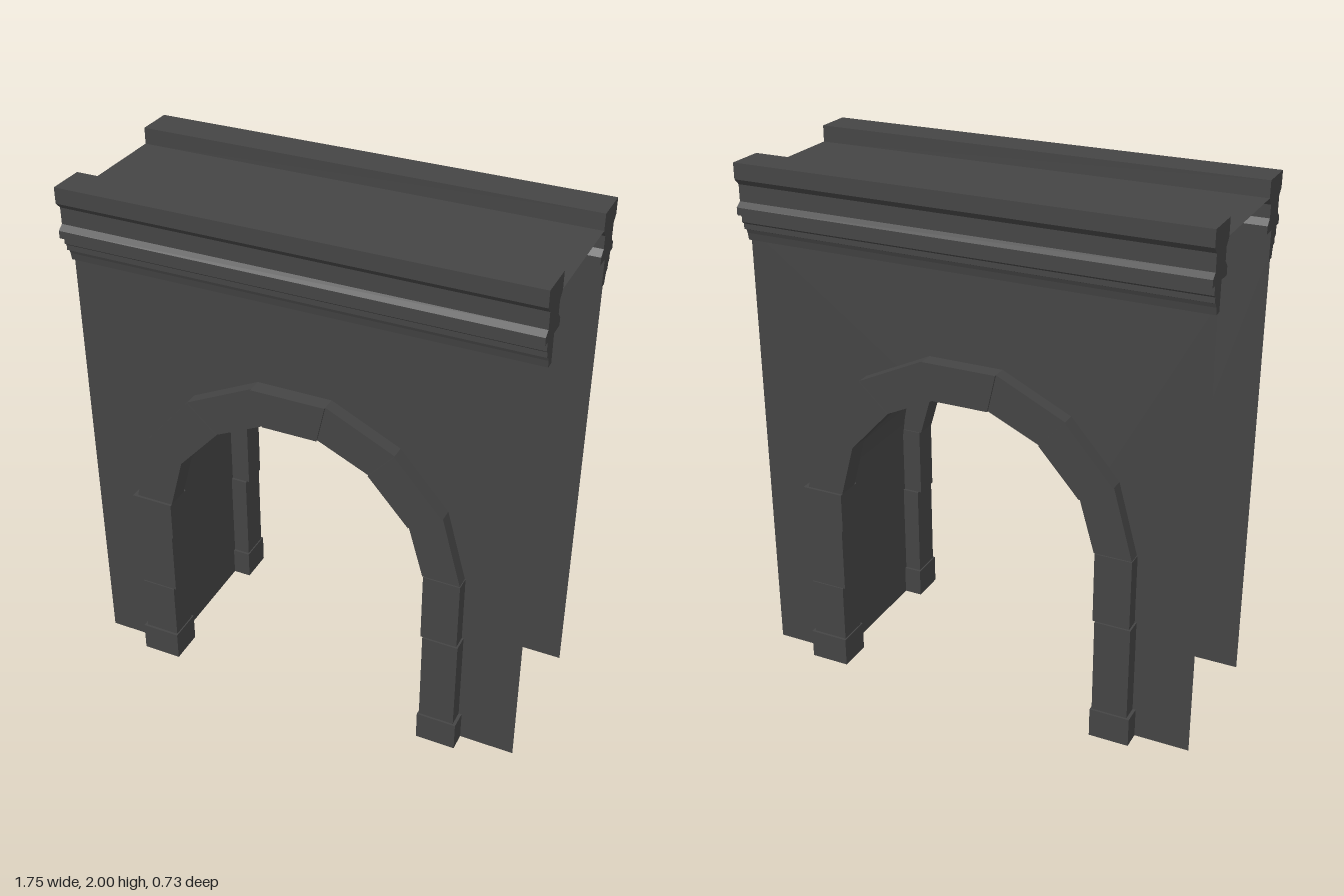
import * as THREE from 'three';

const HALF_W = 0.877, WALL_Z = 0.29, SPRING = 0.72, RADIUS = 0.585;

const stone = new THREE.MeshStandardMaterial({ color: 0x444444, flatShading: true });
const sheet = new THREE.MeshStandardMaterial({ color: 0x444444, side: THREE.DoubleSide });

function add(parent, name, geometry, material) {
  const mesh = new THREE.Mesh(geometry, material);
  mesh.name = name;
  parent.add(mesh);
  return mesh;
}

function extrude(points, depth) {
  const shape = new THREE.Shape(points.map(([x, y]) => new THREE.Vector2(x, y)));
  return new THREE.ExtrudeGeometry(shape, { depth, bevelEnabled: false });
}

// Opening outline from the left foot over the arch to the right foot
function openingPoints(segments) {
  const pts = [[-RADIUS, 0]];
  for (let i = 0; i <= segments; i++) {
    const a = Math.PI * (1 - i / segments);
    pts.push([RADIUS * Math.cos(a), SPRING + RADIUS * Math.sin(a)]);
  }
  pts.push([RADIUS, 0]);
  return pts;
}

// One stone between two joints; each joint is [outerX, outerY, innerX, innerY]
function addStone(parent, name, a, b, z0, z1) {
  const quad = [[a[0], a[1]], [b[0], b[1]], [b[2], b[3]], [a[2], a[3]]];
  add(parent, name, extrude(quad, z1 - z0), stone).position.z = z0;
}

function createFace() {
  const face = new THREE.Group();

  // Thin wall with the arched opening
  const outline = [[-HALF_W, 0], ...openingPoints(40), [HALF_W, 0], [HALF_W, 1.74], [-HALF_W, 1.74]];
  const wallShape = new THREE.Shape(outline.map(([x, y]) => new THREE.Vector2(x, y)));
  add(face, 'wall', new THREE.ShapeGeometry(wallShape), sheet).position.z = WALL_Z;

  // Jamb blocks: outer x, inner x, bottom, top, back z, front z
  const blocks = [
    [-0.683, -0.53, 0, 0.115, 0.225, 0.36],
    [-0.672, -0.535, 0.115, 0.345, 0.235, 0.35],
    [-0.672, -0.528, 0.345, 0.605, 0.245, 0.345],
    [-0.685, -0.52, 0.605, 0.76, 0.235, 0.35],
    [0.667, 0.513, 0, 0.115, 0.225, 0.36],
    [0.655, 0.518, 0.115, 0.49, 0.235, 0.352],
    [0.648, 0.508, 0.49, 0.765, 0.245, 0.345],
  ];
  for (const [xo, xi, y0, y1, z0, z1] of blocks) {
    const box = new THREE.BoxGeometry(Math.abs(xo - xi), y1 - y0, z1 - z0);
    add(face, 'jambBlock', box, stone).position.set((xo + xi) / 2, (y0 + y1) / 2, (z0 + z1) / 2);
  }

  // Arch stones between successive radial joints
  const joints = [
    [-0.668, 0.76, -0.52, 0.76],
    [-0.6, 1.037, -0.465, 0.965],
    [-0.42, 1.247, -0.305, 1.14],
    [-0.158, 1.372, -0.115, 1.23],
    [0.127, 1.372, 0.095, 1.23],
    [0.386, 1.247, 0.29, 1.14],
    [0.57, 1.037, 0.445, 0.965],
    [0.645, 0.765, 0.503, 0.765],
  ];
  const depths = [[0.25, 0.34], [0.24, 0.348], [0.25, 0.342], [0.238, 0.35], [0.25, 0.342], [0.24, 0.348], [0.25, 0.34]];
  depths.forEach(([z0, z1], i) => {
    addStone(face, i === 3 ? 'keystone' : 'archStone', joints[i], joints[i + 1], z0, z1);
  });

  // Moulded cornice, profile in (z, y) swept along x
  const profile = [
    [0.365, 2], [0.365, 1.94], [0.343, 1.917], [0.343, 1.875], [0.343, 1.855], [0.365, 1.838],
    [0.365, 1.81], [0.34, 1.81], [0.34, 1.778], [0.33, 1.77], [0.33, 1.75], [0.318, 1.745],
    [0.312, 1.73], [0.307, 1.703], [0.276, 1.703], [0.276, 1.81], [0.223, 1.81],
    [0.223, 1.84], [0.245, 1.862], [0.245, 1.91], [0.223, 1.935], [0.223, 2],
  ];
  const cornice = extrude(profile, HALF_W * 2);
  cornice.rotateY(-Math.PI / 2).translate(HALF_W, 0, 0);
  add(face, 'cornice', cornice, stone);
  return face;
}

// Smooth passage lining swept between the two walls
function passageGeometry() {
  const pts = openingPoints(40);
  const positions = [], normals = [], index = [];
  pts.forEach(([x, y], i) => {
    const dy = Math.max(y - SPRING, 0), len = Math.hypot(x, dy);
    for (const z of [WALL_Z, -WALL_Z]) {
      positions.push(x, y, z);
      normals.push(-x / len, -dy / len, 0);
    }
    if (i) {
      const k = 2 * i;
      index.push(k - 2, k - 1, k, k - 1, k + 1, k);
    }
  });
  const g = new THREE.BufferGeometry();
  g.setAttribute('position', new THREE.Float32BufferAttribute(positions, 3));
  g.setAttribute('normal', new THREE.Float32BufferAttribute(normals, 3));
  g.setIndex(index);
  // Front side faces into the passage
  return g;
}

export function createModel() {
  const model = new THREE.Group();
  model.name = 'archway';

  // The back is the front turned half way round
  const front = createFace();
  front.name = 'frontFace';
  const back = createFace();
  back.name = 'backFace';
  back.rotation.y = Math.PI;
  model.add(front, back);

  add(model, 'passage', passageGeometry(), sheet);

  // Thin deck between the cornices
  const deck = new THREE.PlaneGeometry(HALF_W * 2, 0.45).rotateX(-Math.PI / 2);
  add(model, 'deck', deck, sheet).position.y = 1.938;
  return model;
}
